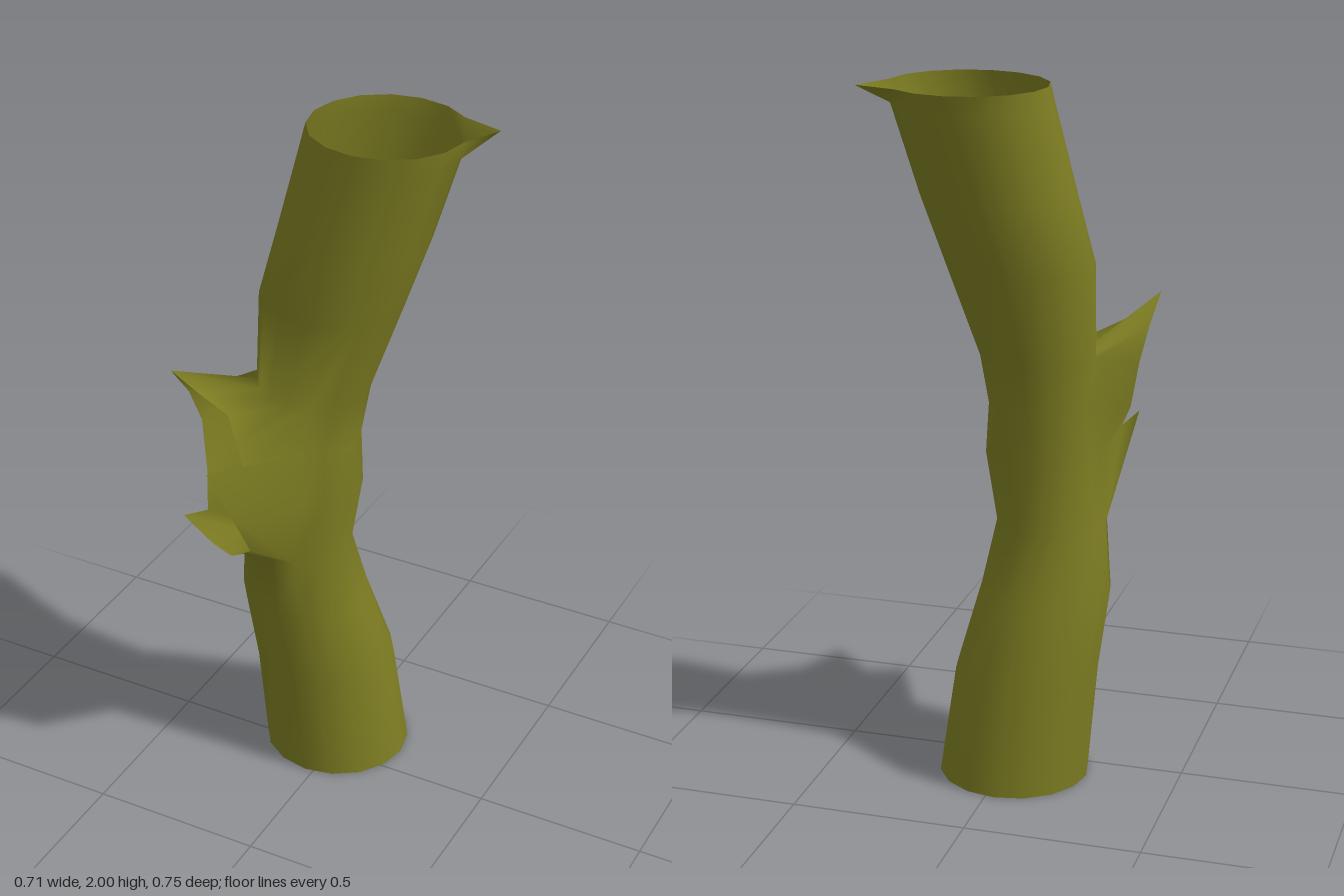
import * as THREE from 'three';

const SEGS = 16;
// trunk cross-sections: y, xMin, xMax, zMin, zMax
const RINGS = [
  [0, -0.24, 0.19, -0.3, 0.12],
  [0.32, -0.265, 0.145, -0.28, 0.125],
  [0.55, -0.29, 0.085, -0.215, 0.135],
  [0.75, -0.268, 0.045, -0.16, 0.145],
  [0.95, -0.25, 0.075, -0.17, 0.14],
  [1.1, -0.24, 0.06, -0.185, 0.12],
  [1.24, -0.245, 0.08, -0.2, 0.095],
  [1.5, -0.25, 0.165, -0.26, 0.088],
  [1.7, -0.205, 0.225, -0.31, 0.07],
  [1.95, -0.15, 0.29, -0.36, 0.045],
  [2, -0.14, 0.3, -0.375, 0.04],
];
// opening in the trunk where the broken stub grows out
const HOLE = { i0: 3, i1: 8, r0: 3, r1: 6 };
// jagged stub rim, walked around the opening from its lower corner
const RIM = [
  [-0.1, 0.87, 0.29], [-0.12, 0.86, 0.3], [-0.15, 0.85, 0.31], [-0.2, 0.88, 0.32],
  [-0.275, 0.97, 0.35], [-0.245, 0.95, 0.27], [-0.285, 1.03, 0.2], [-0.315, 1.17, 0.17],
  [-0.335, 1.27, 0.2], [-0.355, 1.36, 0.257], [-0.28, 1.29, 0.23], [-0.21, 1.23, 0.205],
  [-0.17, 1.16, 0.23], [-0.13, 1.09, 0.255], [-0.185, 1.14, 0.372], [-0.14, 1.0, 0.33],
];

const id = (r, i) => r * SEGS + (i % SEGS);

export function createModel() {
  const bark = new THREE.MeshStandardMaterial({ color: 0x7c7c22, side: THREE.DoubleSide });
  bark.name = 'mossy bark';

  const positions = [];
  for (const [y, x0, x1, z0, z1] of RINGS) {
    for (let i = 0; i < SEGS; i++) {
      const a = (i / SEGS) * Math.PI * 2;
      positions.push(
        (x0 + x1) / 2 + ((x1 - x0) / 2) * Math.cos(a), y,
        (z0 + z1) / 2 + ((z1 - z0) / 2) * Math.sin(a));
    }
  }
  // splinter on the top rim
  const tip = id(RINGS.length - 1, 15) * 3;
  positions[tip] = 0.355;
  positions[tip + 2] = -0.28;

  // hollow trunk wall, leaving out the stub opening
  const trunkIndex = [];
  for (let r = 0; r < RINGS.length - 1; r++) {
    for (let i = 0; i < SEGS; i++) {
      if (r >= HOLE.r0 && r < HOLE.r1 && i >= HOLE.i0 && i < HOLE.i1) continue;
      const a = id(r, i), b = id(r, i + 1), c = id(r + 1, i), d = id(r + 1, i + 1);
      trunkIndex.push(a, c, b, b, c, d);
    }
  }

  // boundary of the opening, in the same order as the rim
  const base = [];
  for (let i = HOLE.i0; i < HOLE.i1; i++) base.push(id(HOLE.r0, i));
  for (let r = HOLE.r0; r < HOLE.r1; r++) base.push(id(r, HOLE.i1));
  for (let i = HOLE.i1; i > HOLE.i0; i--) base.push(id(HOLE.r1, i));
  for (let r = HOLE.r1; r > HOLE.r0; r--) base.push(id(r, HOLE.i0));

  // stub wall from the opening to the rim
  const rimStart = positions.length / 3;
  RIM.forEach((p) => positions.push(...p));
  const stubIndex = [];
  base.forEach((a, k) => {
    const n = (k + 1) % base.length;
    const b = base[n], ra = rimStart + k, rb = rimStart + n;
    stubIndex.push(a, ra, b, b, ra, rb);
  });

  // both parts share points and normals, so the joint shades smoothly
  const whole = new THREE.BufferGeometry();
  whole.setAttribute('position', new THREE.Float32BufferAttribute(positions, 3));
  whole.setIndex([...trunkIndex, ...stubIndex]);
  whole.computeVertexNormals();

  const group = new THREE.Group();
  group.name = 'hollowBranch';
  const addPart = (name, index) => {
    const g = new THREE.BufferGeometry();
    g.setAttribute('position', whole.getAttribute('position').clone());
    g.setAttribute('normal', whole.getAttribute('normal').clone());
    g.setIndex(index);
    const mesh = new THREE.Mesh(g, bark);
    mesh.name = name;
    group.add(mesh);
  };
  addPart('trunk', trunkIndex);
  addPart('brokenStub', stubIndex);
  return group;
}
